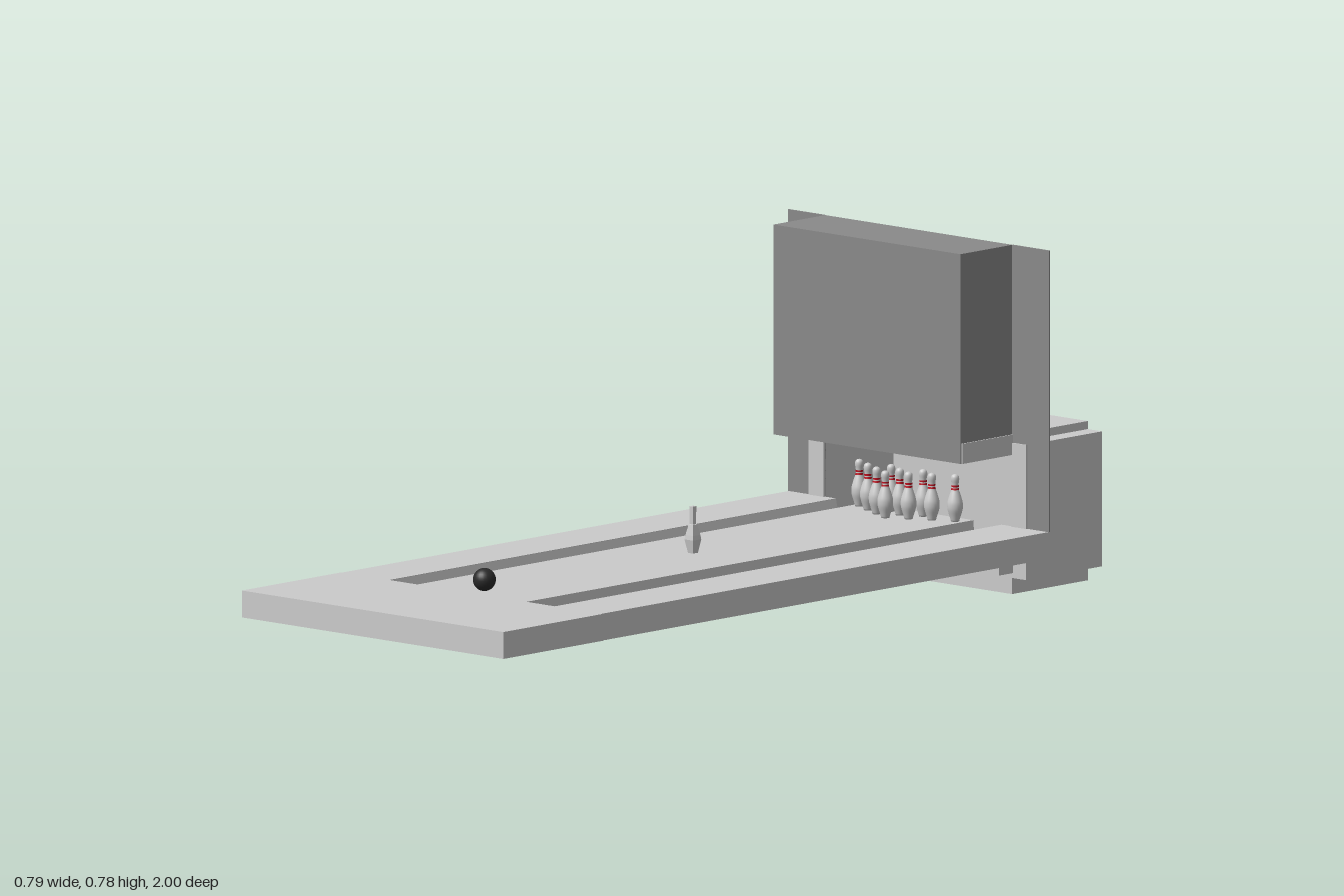
import * as THREE from 'three';

const grey = new THREE.MeshStandardMaterial({ color: 0xcccccc, side: THREE.DoubleSide });
const dark = new THREE.MeshStandardMaterial({ color: 0x8a8a8a, side: THREE.DoubleSide });
const black = new THREE.MeshStandardMaterial({ color: 0x2a2a2a });
const red = new THREE.MeshStandardMaterial({ color: 0xc01020 });
const smooth = new THREE.MeshStandardMaterial({ color: 0xcccccc });
const faceted = new THREE.MeshStandardMaterial({ color: 0xcccccc, flatShading: true });

function add(parent, name, geometry, material) {
  const mesh = new THREE.Mesh(geometry, material);
  mesh.name = name;
  parent.add(mesh);
  return mesh;
}

// Box given by its limits along each axis
function box(parent, name, [x0, x1], [y0, y1], [z0, z1], material = grey) {
  const mesh = add(parent, name, new THREE.BoxGeometry(x1 - x0, y1 - y0, z1 - z0), material);
  mesh.position.set((x0 + x1) / 2, (y0 + y1) / 2, (z0 + z1) / 2);
  return mesh;
}

const lathe = (points, sides) =>
  new THREE.LatheGeometry(points.map(([r, y]) => new THREE.Vector2(r, y)), sides);

function createLane() {
  const lane = new THREE.Group();
  lane.name = 'lane';
  const y = [0.09, 0.15], z = [-0.76, 0.68];
  box(lane, 'approach', [-0.393, 0.393], y, [0.68, 1]);
  box(lane, 'laneBed', [-0.164, 0.164], y, z);

  // Gutter trough: inner channel, then the shallow ribbed underside
  const profile = [
    [0.164, 0.149], [0.168, 0.1], [0.18, 0.083], [0.22, 0.083], [0.237, 0.1], [0.249, 0.149],
    [0.252, 0.149], [0.25, 0.088], [0.236, 0.071], [0.226, 0.077],
    [0.172, 0.077], [0.163, 0.071], [0.141, 0.089], [0.162, 0.0905],
  ];
  for (const side of [-1, 1]) {
    box(lane, 'laneSide', [Math.min(side * 0.249, side * 0.39), Math.max(side * 0.249, side * 0.39)], y, z);
    const points = profile.map(([px, py]) => new THREE.Vector2(side * px, py));
    const trough = new THREE.ExtrudeGeometry(new THREE.Shape(points), { depth: 1.44, bevelEnabled: false });
    add(lane, 'gutter', trough, grey).position.z = -0.76;
  }
  return lane;
}

function createPit() {
  const pit = new THREE.Group();
  pit.name = 'pinPit';
  const z = [-1, -0.755];
  box(pit, 'pitFloor', [-0.285, 0.285], [0, 0.047], z);
  box(pit, 'pitBack', [-0.281, 0.281], [0.047, 0.31], [-1, -0.98]);
  box(pit, 'pitLid', [-0.284, 0.284], [0.31, 0.355], [-1, -0.597]);
  box(pit, 'pitSill', [-0.287, 0.287], [0.047, 0.083], [-0.76, -0.71]);
  for (const side of [-1, 1]) {
    const x = [side * 0.281, side * 0.327].sort((a, b) => a - b);
    box(pit, 'pitSide', x, [0.036, 0.337], z);
  }
  return pit;
}

function createMask() {
  const mask = new THREE.Group();
  mask.name = 'pinMask';
  const z = [-0.76, -0.595];
  box(mask, 'maskFront', [-0.281, 0.281], [0.31, 0.778], [-0.597, -0.593], dark);
  box(mask, 'maskTop', [-0.281, 0.281], [0.774, 0.778], z, dark);
  for (const side of [-1, 1]) {
    const order = (a, b) => [side * a, side * b].sort((p, q) => p - q);
    box(mask, 'maskSide', order(0.277, 0.281), [0.355, 0.778], z, dark);
    box(mask, 'maskWing', order(0.281, 0.392), [0.15, 0.778], [-0.763, -0.759], dark);
  }
  return mask;
}

// Rounded pin with two red neck rings, standing on its own origin
function createPin() {
  const pin = new THREE.Group();
  pin.name = 'pin';
  const outline = [
    [0, 0], [0.009, 0], [0.0125, 0.012], [0.0165, 0.025], [0.0175, 0.035], [0.0165, 0.045],
    [0.012, 0.06], [0.0085, 0.07], [0.0075, 0.077], [0.008, 0.085], [0.0093, 0.093],
    [0.0085, 0.1], [0.005, 0.104], [0, 0.1055],
  ].map(([r, y]) => new THREE.Vector2(r, y));
  const curve = new THREE.SplineCurve(outline.slice(1));
  add(pin, 'pinBody', new THREE.LatheGeometry([outline[0], ...curve.getPoints(30)], 20), smooth);
  add(pin, 'lowerRing', lathe([[0.0089, 0.0705], [0.0083, 0.0745]], 20), red);
  add(pin, 'upperRing', lathe([[0.0082, 0.077], [0.0084, 0.081]], 20), red);
  return pin;
}

export function createModel() {
  const model = new THREE.Group();
  model.name = 'bowlingLane';
  model.add(createLane(), createPit(), createMask());

  // Ten pins in a triangle, point toward the player
  const pins = new THREE.Group();
  pins.name = 'pins';
  const pin = createPin();
  for (let row = 0; row < 4; row++) {
    for (let i = 0; i <= row; i++) {
      const copy = pin.clone();
      copy.position.set((i - row / 2) * 0.096, 0.15, -0.652 - row * 0.0235);
      pins.add(copy);
    }
  }
  model.add(pins);

  // Blocky four-sided pin in mid-lane
  const marker = lathe([[0, 0], [0.011, 0], [0.0185, 0.03], [0.0165, 0.04], [0.0095, 0.063], [0.007, 0.064], [0.0075, 0.104], [0, 0.105]], 4);
  marker.rotateY(Math.PI / 4);
  add(model, 'markerPin', marker, faceted).position.set(0, 0.15, -0.032);

  add(model, 'ball', new THREE.SphereGeometry(0.0255, 24, 16), black).position.set(0, 0.1755, 0.64);
  return model;
}
